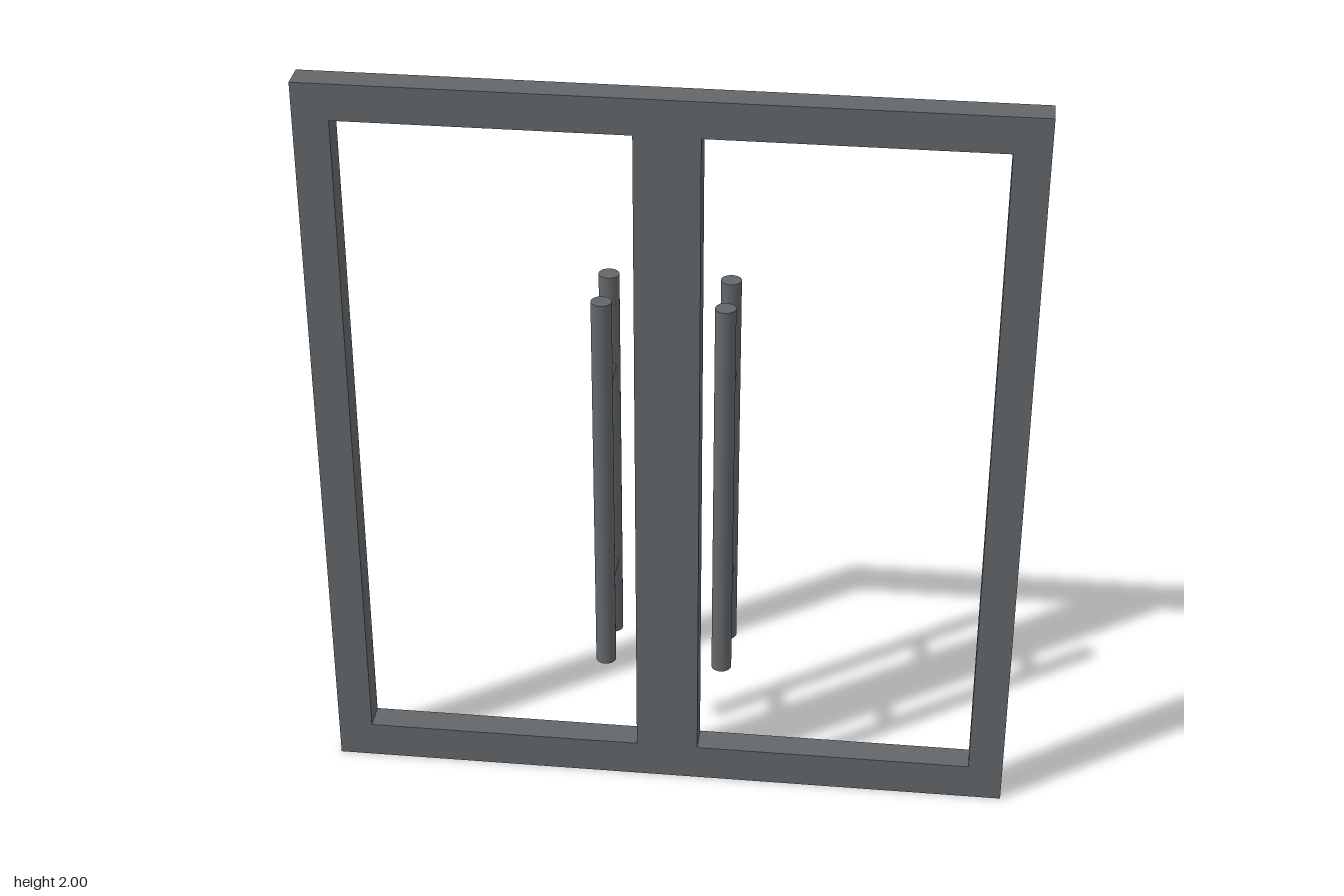
import * as THREE from 'three';

export function createModel() {
  const metal = new THREE.MeshStandardMaterial({ color: 0x63676a });
  metal.name = 'dark grey metal';

  const model = new THREE.Group();
  model.name = 'doubleDoor';
  const door = new THREE.Group();
  door.name = 'door';
  door.rotation.y = -0.769; // stands diagonally
  model.add(door);

  function add(name, geometry, parent, x, y, z) {
    const mesh = new THREE.Mesh(geometry, metal);
    mesh.name = name;
    mesh.position.set(x, y, z);
    parent.add(mesh);
    return mesh;
  }

  // Frame: one slab with two tall openings
  const halfWidth = 0.9025, thickness = 0.075;
  const rectangle = (Type, x0, x1, y0, y1) => new Type([
    new THREE.Vector2(x0, y0), new THREE.Vector2(x1, y0),
    new THREE.Vector2(x1, y1), new THREE.Vector2(x0, y1),
  ]);
  const outline = rectangle(THREE.Shape, -halfWidth, halfWidth, 0, 2);
  outline.holes.push(
    rectangle(THREE.Path, -0.812, -0.082, 0.1, 1.905),
    rectangle(THREE.Path, 0.082, 0.812, 0.1, 1.905),
  );
  const frame = new THREE.ExtrudeGeometry(outline, { depth: thickness, bevelEnabled: false });
  add('frame', frame, door, 0, 0, -thickness / 2);

  // Handles: a bar on each face, joined by two rods through the opening
  const reach = 0.073;
  const bar = new THREE.CylinderGeometry(0.026, 0.026, 1.07, 32);
  const rod = new THREE.CylinderGeometry(0.018, 0.018, reach * 2, 24).rotateX(Math.PI / 2);
  for (const [name, x] of [['rightHandle', -0.157], ['leftHandle', 0.148]]) {
    const handle = new THREE.Group();
    handle.name = name;
    handle.position.x = x;
    door.add(handle);
    add('frontBar', bar, handle, 0, 0.94, reach);
    add('backBar', bar, handle, 0, 0.94, -reach);
    add('lowerRod', rod, handle, 0, 0.63, 0);
    add('upperRod', rod, handle, 0, 1.22, 0);
  }

  return model;
}
